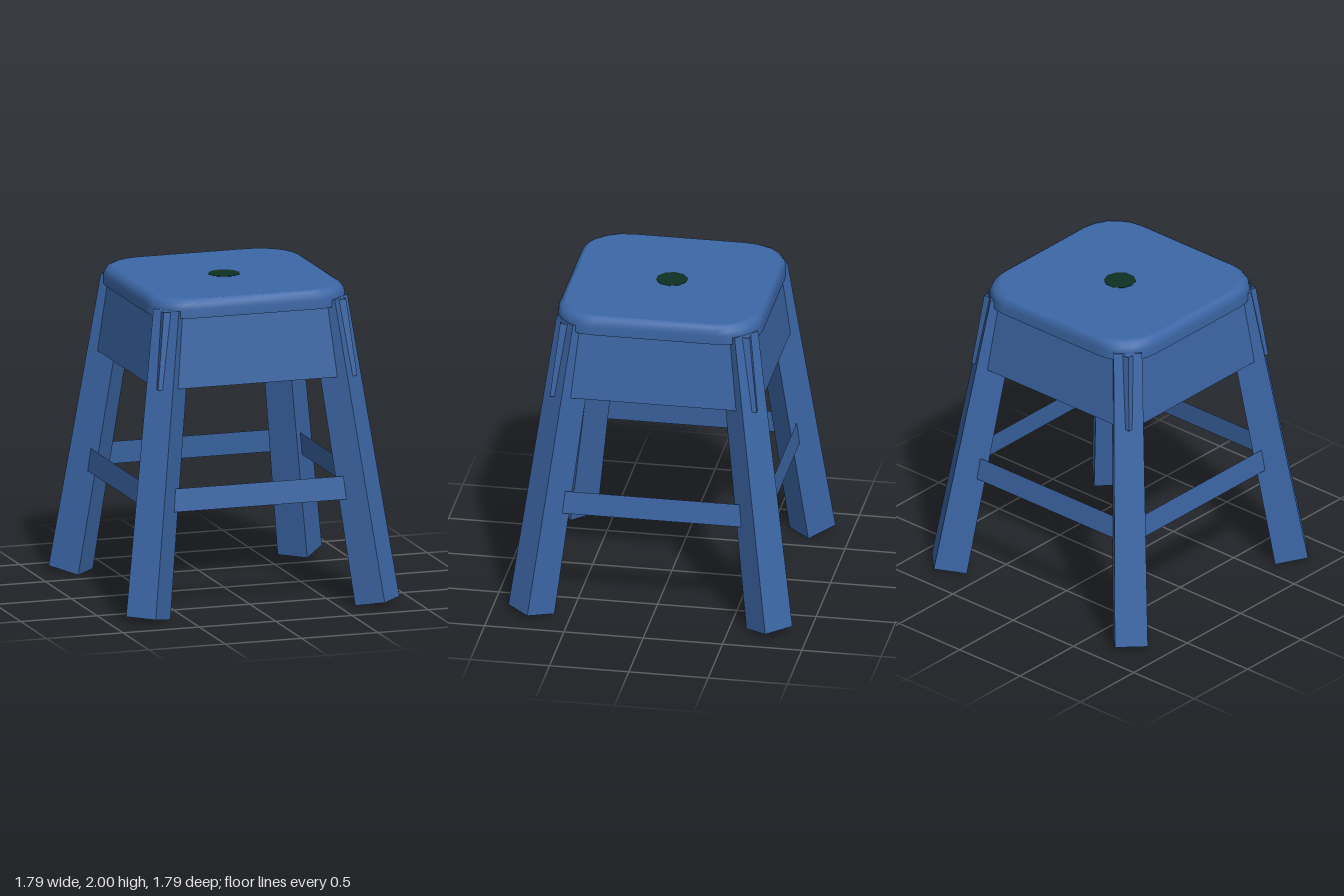
import * as THREE from 'three';

const paint = new THREE.MeshStandardMaterial({ color: 0x3c67a6, side: THREE.DoubleSide });
paint.name = 'blue paint';
const dark = new THREE.MeshStandardMaterial({ color: 0x0f3024 });
dark.name = 'dark green';

function addMesh(parent, name, geometry, material = paint) {
  const mesh = new THREE.Mesh(geometry, material);
  mesh.name = name;
  parent.add(mesh);
  return mesh;
}

function faceted(geometry) {
  const g = geometry.toNonIndexed();
  g.computeVertexNormals();
  return g;
}

// Outline of a rounded square, counter-clockwise in x and -z
function roundedSquare(half, radius, steps = 5) {
  const points = [];
  for (let corner = 0; corner < 4; corner++) {
    const mid = Math.PI / 4 + corner * Math.PI / 2;
    const cx = Math.sign(Math.cos(mid)) * (half - radius);
    const cy = Math.sign(Math.sin(mid)) * (half - radius);
    for (let i = 0; i <= steps; i++) {
      const a = (corner + i / steps) * Math.PI / 2;
      points.push(new THREE.Vector2(cx + radius * Math.cos(a), cy + radius * Math.sin(a)));
    }
  }
  return points;
}

// Skin through rounded-square rings given as [y, half, radius]
function loft(rings) {
  const positions = [], index = [];
  let n = 0;
  for (const [y, half, radius] of rings) {
    const outline = roundedSquare(half, radius);
    n = outline.length;
    for (const p of outline) positions.push(p.x, y, -p.y);
  }
  for (let r = 0; r < rings.length - 1; r++) {
    for (let i = 0; i < n; i++) {
      const a = r * n + i, b = r * n + (i + 1) % n;
      index.push(a, b, b + n, a, b + n, a + n);
    }
  }
  const g = new THREE.BufferGeometry();
  g.setAttribute('position', new THREE.Float32BufferAttribute(positions, 3));
  g.setIndex(index);
  g.computeVertexNormals();
  return g;
}

// Thin square band of four leaning sheets
function squareBand(y0, half0, y1, half1) {
  const g = new THREE.CylinderGeometry(half1 * Math.SQRT2, half0 * Math.SQRT2, y1 - y0, 4, 1, true);
  g.rotateY(Math.PI / 4);
  g.translate(0, (y0 + y1) / 2, 0);
  return faceted(g);
}

// Tapered leg leaning towards the centre, both ends cut square to its axis
function legGeometry() {
  const g = new THREE.BoxGeometry(2, 2, 2);
  const p = g.attributes.position;
  for (let i = 0; i < p.count; i++) {
    const out = p.getX(i), top = p.getY(i) > 0, side = p.getZ(i);
    const half = top ? 0.0885 : 0.1025;
    const centre = (top ? 0.51 : 0.75) * Math.SQRT2;
    const y = (top ? 1.89 : 0) + (out > 0 ? 0.04 : 0);
    p.setXYZ(i, centre + out * half, y, side * half);
  }
  return faceted(g);
}

export function createModel() {
  const stool = new THREE.Group();
  stool.name = 'stool';

  // Seat: a hollow pressed pan with a rolled edge
  const seat = new THREE.Group();
  seat.name = 'seat';
  stool.add(seat);
  addMesh(seat, 'seatRim', loft([
    [1.88, 0.645, 0.25], [1.935, 0.645, 0.25], [1.965, 0.639, 0.25],
    [1.986, 0.626, 0.25], [1.998, 0.605, 0.25],
  ]));
  const top = new THREE.ShapeGeometry(new THREE.Shape(roundedSquare(0.605, 0.25)));
  top.rotateX(-Math.PI / 2);
  addMesh(seat, 'seatTop', top).position.y = 1.998;

  // Ten-sided dark spot in the middle of the seat
  const spot = new THREE.CylinderGeometry(0.1, 0.1, 0.004, 10);
  spot.rotateY(Math.PI / 2);
  addMesh(seat, 'seatHole', spot, dark).position.y = 1.998;

  // Apron under the seat and stretchers between the legs
  addMesh(stool, 'apron', squareBand(1.44, 0.652, 1.92, 0.597));
  addMesh(stool, 'stretchers', squareBand(0.67, 0.702, 0.815, 0.686));

  // Four legs on the diagonals
  const leg = legGeometry();
  for (let i = 0; i < 4; i++) {
    addMesh(stool, 'leg' + (i + 1), leg).rotation.y = Math.PI / 4 + i * Math.PI / 2;
  }
  return stool;
}
